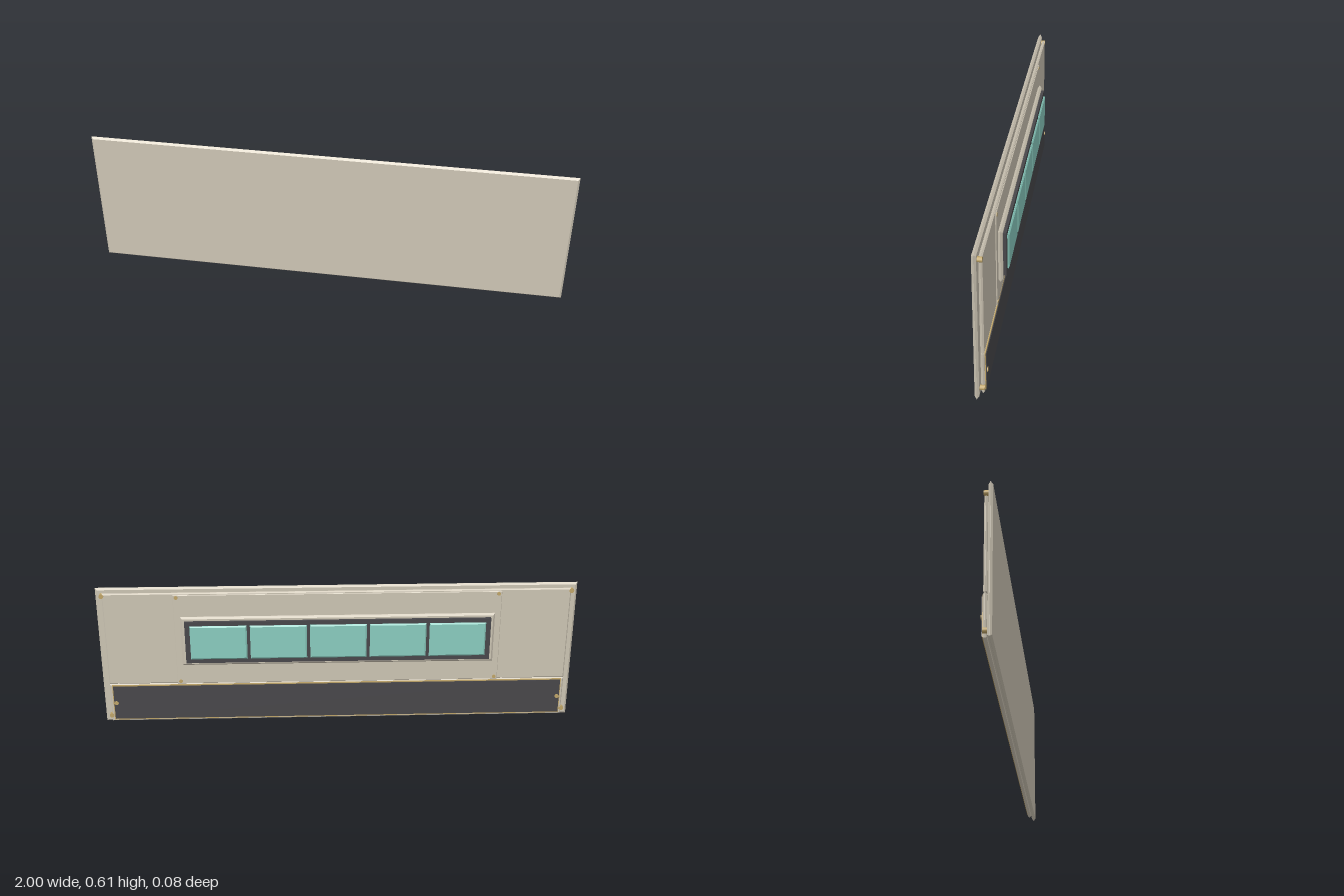
import * as THREE from 'three';

const mat = (name, color) => {
  const m = new THREE.MeshStandardMaterial({ color });
  m.name = name;
  return m;
};

export function createModel() {
  const group = new THREE.Group();
  const beige = mat('beige', 0xcdc5b4);
  const charcoal = mat('charcoal', 0x48474a);
  const glass = mat('teal glass', 0x8accbf);
  const brass = mat('brass', 0xc0a568);

  const add = (name, geometry, material) => {
    const mesh = new THREE.Mesh(geometry, material);
    mesh.name = name;
    group.add(mesh);
    return mesh;
  };

  // Rectangular slab with square edges
  const slab = (name, x0, x1, y0, y1, z0, z1, material) =>
    add(name, new THREE.BoxGeometry(x1 - x0, y1 - y0, z1 - z0), material)
      .position.set((x0 + x1) / 2, (y0 + y1) / 2, (z0 + z1) / 2);

  // Rectangular plate whose rim is chamfered from both faces
  const plate = (name, x0, x1, y0, y1, z0, z1, bevel, material) => {
    const shape = new THREE.Shape([
      new THREE.Vector2(x0, y0), new THREE.Vector2(x1, y0),
      new THREE.Vector2(x1, y1), new THREE.Vector2(x0, y1),
    ]);
    const rim = 0.001;
    const thick = (z1 - z0 - rim) / 2;
    const g = new THREE.ExtrudeGeometry(shape, {
      depth: rim, bevelEnabled: true, bevelSegments: 1,
      bevelSize: bevel, bevelOffset: -bevel, bevelThickness: thick,
    });
    g.translate(0, 0, z0 + thick);
    add(name, g, material);
  };

  // Brass stud pointing backwards
  const stud = (name, x, y, z0, z1, r) => {
    const g = new THREE.CylinderGeometry(r, r, z1 - z0, 12);
    g.rotateX(Math.PI / 2);
    add(name, g, brass).position.set(x, y, (z0 + z1) / 2);
  };

  // Layered wall panels
  plate('basePanel', -1, 1, 0, 0.607, 0.021, 0.038, 0.008, beige);
  slab('panelCore', -0.95, 0.95, 0.03, 0.57, 0.012, 0.022, beige);
  plate('upperPanel', -0.972, 0.972, 0.181, 0.588, 0.004, 0.017, 0.005, beige);
  plate('lowerPanel', -0.972, 0.972, 0.008, 0.181, 0.004, 0.017, 0.005, beige);
  plate('centrePanel', -0.682, 0.682, 0.182, 0.58, 0, 0.005, 0.002, beige);

  // Dark lower band with its brass edging
  slab('bandEdging', -0.961, 0.961, 0.016, 0.177, 0.001, 0.006, brass);
  slab('lowerBand', -0.957, 0.957, 0.021, 0.172, -0.002, 0.004, charcoal);

  // Window surround
  plate('windowSurround', -0.655, 0.655, 0.272, 0.488, -0.017, 0.001, 0.008, beige);
  slab('windowFrame', -0.637, 0.637, 0.288, 0.472, -0.029, -0.016, charcoal);

  // Row of five chamfered panes
  for (let i = -2; i <= 2; i++) {
    const x = i * 0.249;
    plate('windowPane', x - 0.118, x + 0.118, 0.307, 0.455, -0.037, -0.027, 0.006, glass);
  }

  // Studs, mirrored left and right
  for (const s of [-1, 1]) {
    for (const y of [0.577, 0.034]) stud('cornerStud', s * 0.973, y, 0.003, 0.022, 0.01);
    for (const y of [0.569, 0.193]) stud('centrePanelStud', s * 0.668, y, -0.002, 0.005, 0.008);
    stud('bandStud', s * 0.947, 0.096, -0.005, 0.005, 0.009);
  }
  return group;
}
